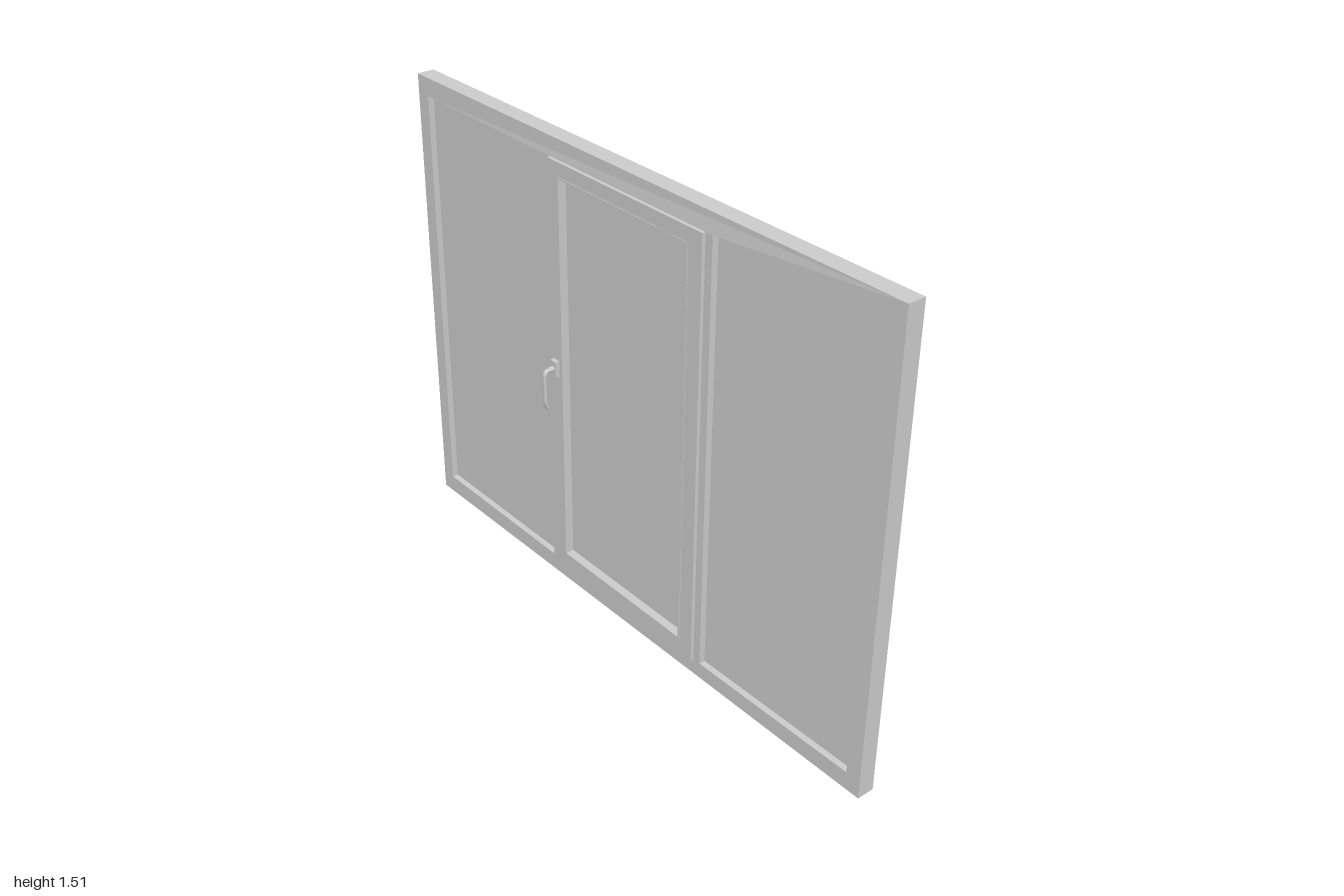
import * as THREE from 'three';

const material = new THREE.MeshStandardMaterial({ color: 0xcccccc, flatShading: true });
const smooth = new THREE.MeshStandardMaterial({ color: 0xcccccc });

// The right-hand third leans back very slightly.
function lean(geometry) {
  const p = geometry.attributes.position;
  for (let i = 0; i < p.count; i++) {
    p.setZ(i, p.getZ(i) - 0.009 * Math.max(0, (p.getX(i) - 0.35) / 0.65));
  }
  geometry.computeVertexNormals();
  return geometry;
}

function add(parent, name, geometry, mat = material) {
  const mesh = new THREE.Mesh(geometry, mat);
  mesh.name = name;
  parent.add(mesh);
  return mesh;
}

function trace(path, [x0, x1, y0, y1]) {
  path.moveTo(x0, y0);
  path.lineTo(x1, y0);
  path.lineTo(x1, y1);
  path.lineTo(x0, y1);
  path.closePath();
  return path;
}

// Rectangular plate with rectangular openings, spanning z0 to z1.
function plate(outer, openings, z0, z1) {
  const shape = trace(new THREE.Shape(), outer);
  for (const o of openings) shape.holes.push(trace(new THREE.Path(), o));
  const g = new THREE.ExtrudeGeometry(shape, { depth: z1 - z0, bevelEnabled: false });
  return g.translate(0, 0, z0);
}

function createHandle() {
  const handle = new THREE.Group();
  handle.name = 'handle';

  // Rose and spindle collar
  add(handle, 'handlePlate', new THREE.BoxGeometry(0.026, 0.052, 0.016).translate(0, 0.785, 0.02));
  const collar = new THREE.CylinderGeometry(0.009, 0.009, 0.02, 20).rotateX(Math.PI / 2);
  add(handle, 'handleCollar', collar.translate(0, 0.785, 0.035), smooth);

  // Lever turning down and curling back at its tip
  const curve = new THREE.CatmullRomCurve3([
    [0.03, 0.785], [0.048, 0.786], [0.058, 0.779], [0.06, 0.76],
    [0.06, 0.71], [0.059, 0.675], [0.052, 0.658],
  ].map(([z, y]) => new THREE.Vector3(0, y, z)));
  const radius = 0.0055;
  const lever = add(handle, 'handleLever', new THREE.TubeGeometry(curve, 40, radius, 12), smooth);
  lever.scale.x = 1.6;
  const tip = add(handle, 'handleTip', new THREE.SphereGeometry(radius, 12, 8), smooth);
  tip.position.set(0, 0.658, 0.052);
  tip.scale.x = 1.6;

  handle.position.x = -0.305;
  return handle;
}

export function createModel() {
  const model = new THREE.Group();
  model.name = 'window';
  const bottom = 0.06, top = 1.45;

  // Outer frame with two mullions
  const left = [-0.95, -0.358, bottom, top];
  const middle = [-0.295, 0.295, bottom, top];
  const right = [0.355, 0.95, bottom, top];
  add(model, 'frame', lean(plate([-1, 1, 0, 1.51], [left, middle, right], -0.055, 0.002)));

  // Glass panes
  add(model, 'leftPane', plate(left, [], -0.035, -0.018));
  add(model, 'middlePane', plate(middle, [], -0.035, -0.013));
  add(model, 'rightPane', lean(plate(right, [], -0.035, -0.018)));

  // Opening sash standing proud of the frame
  const sash = new THREE.Group();
  sash.name = 'sash';
  model.add(sash);
  const opening = [-0.283, 0.275, 0.108, 1.405];
  add(sash, 'sashFrame', plate([-0.328, 0.328, bottom, top], [opening], -0.014, 0.013));
  const [x0, x1, y0, y1] = opening;
  const t = 0.006;
  add(sash, 'sashGasket', plate(opening, [[x0 + t, x1 - t, y0 + t, y1 - t]], -0.014, 0.015));
  sash.add(createHandle());

  return model;
}
